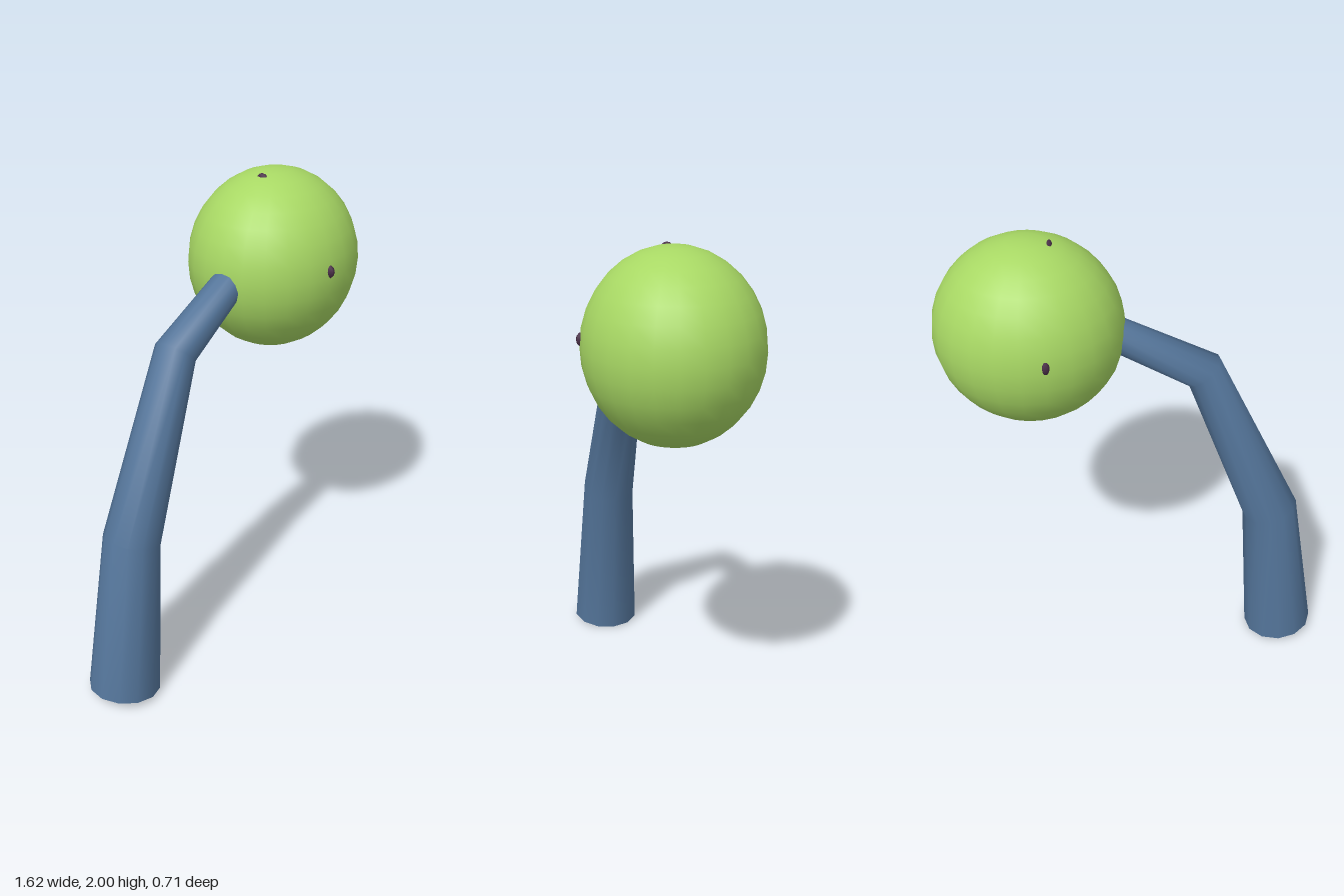
import * as THREE from 'three';

const SIDES = 12;

// Bent tapering tube: each ring is [left x, left y, right x, right y, half depth]
function stemGeometry(rings) {
  const pos = [], index = [];
  const addRing = ([lx, ly, rx, ry, d]) => {
    for (let i = 0; i < SIDES; i++) {
      const a = (i / SIDES) * Math.PI * 2, t = (1 + Math.cos(a)) / 2;
      pos.push(lx + (rx - lx) * t, ly + (ry - ly) * t, Math.sin(a) * d);
    }
  };
  rings.forEach(addRing);
  for (let r = 0; r < rings.length - 1; r++) {
    for (let i = 0; i < SIDES; i++) {
      const a = r * SIDES + i, b = r * SIDES + ((i + 1) % SIDES);
      index.push(a, a + SIDES, b, b, a + SIDES, b + SIDES);
    }
  }
  // Flat bottom cap with its own vertices
  const start = pos.length / 3;
  addRing(rings[0]);
  for (let i = 1; i < SIDES - 1; i++) index.push(start, start + i, start + i + 1);
  const geo = new THREE.BufferGeometry();
  geo.setAttribute('position', new THREE.Float32BufferAttribute(pos, 3));
  geo.setIndex(index);
  geo.computeVertexNormals();
  return geo;
}

export function createModel() {
  const blue = new THREE.MeshStandardMaterial({ name: 'stem blue', color: 0x54759a });
  const green = new THREE.MeshStandardMaterial({ name: 'leaf green', color: 0xa8d864 });
  const plum = new THREE.MeshStandardMaterial({ name: 'dark plum', color: 0x4a2f48 });
  const model = new THREE.Group();
  const add = (name, geo, mat, x = 0, y = 0, z = 0) => {
    const mesh = new THREE.Mesh(geo, mat);
    mesh.name = name;
    mesh.position.set(x, y, z);
    model.add(mesh);
    return mesh;
  };

  // Curved stem running up into the head
  add('stem', stemGeometry([
    [-0.815, 0.042, -0.515, 0.002, 0.15],
    [-0.7, 0.74, -0.47, 0.672, 0.118],
    [-0.34, 1.475, -0.21, 1.36, 0.087],
    [0.14, 1.692, 0.2, 1.57, 0.068],
  ]), blue);

  // Slightly flattened round head
  add('head', new THREE.SphereGeometry(0.385, 24, 16), green, 0.425, 1.615, 0).scale.z = 0.355 / 0.385;

  // Small dark tips just breaking the head's surface
  for (const side of [1, -1]) {
    add('sideTip', new THREE.SphereGeometry(0.03, 6, 6), plum, 0.33, 1.643, side * 0.329).scale.x = 0.6;
  }
  add('topTip', new THREE.SphereGeometry(0.03, 6, 6), plum, 0.33, 1.968, 0).scale.x = 0.5;

  return model;
}
